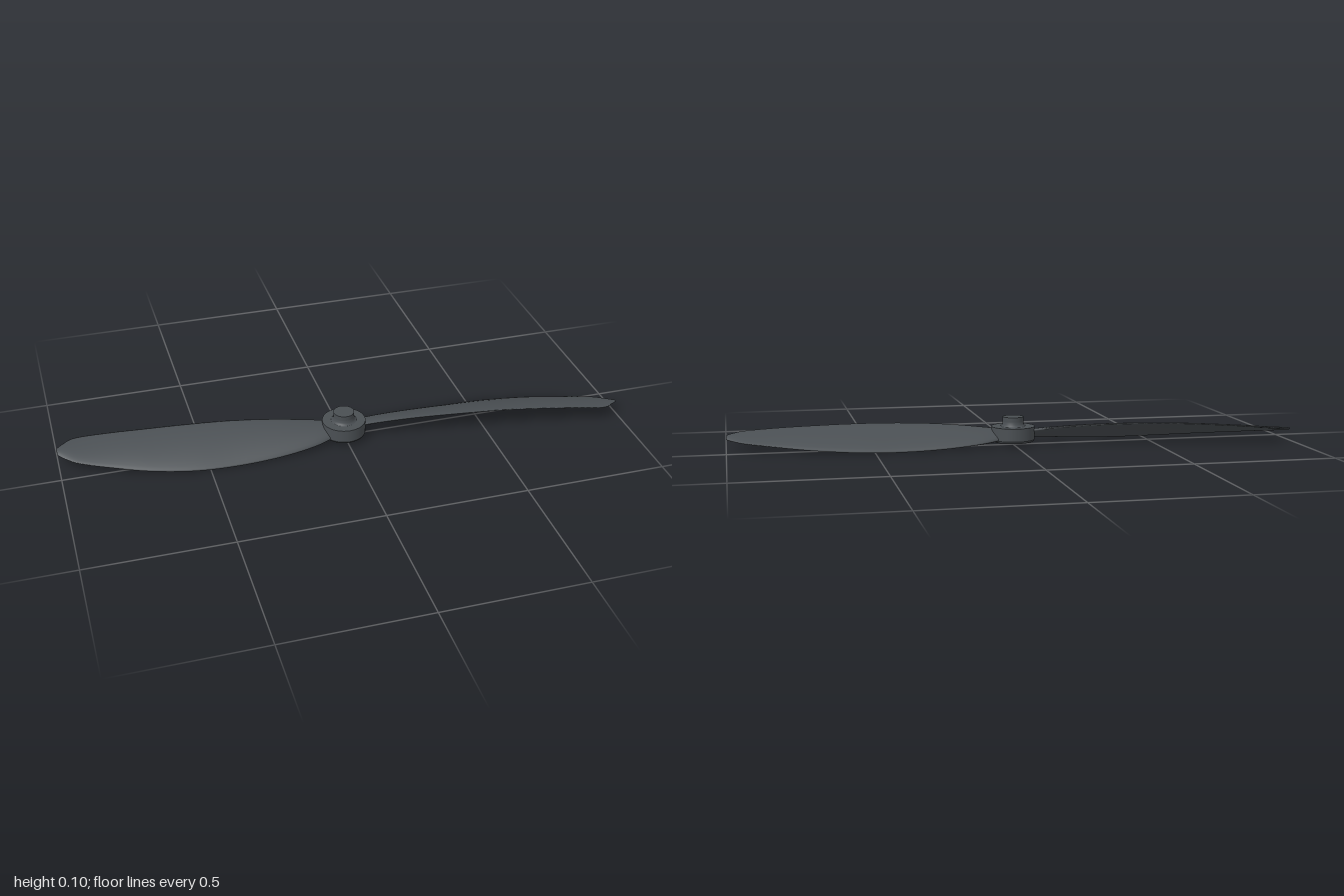
import * as THREE from 'three';

const material = new THREE.MeshStandardMaterial({ color: 0x4a4f53 });

// Blade edges from root to tip: x, y, z
const leadPoints = [
  [0.03, 0.053, 0.028], [0.12, 0.064, 0.044], [0.25, 0.075, 0.068], [0.4, 0.08, 0.093], [0.55, 0.079, 0.113],
  [0.7, 0.073, 0.135], [0.82, 0.066, 0.155], [0.93, 0.057, 0.169], [0.975, 0.053, 0.148], [1, 0.049, 0.13],
];
const trailPoints = [
  [0.03, 0.03, -0.035], [0.12, 0.019, -0.064], [0.25, 0.009, -0.081], [0.4, 0.004, -0.085], [0.55, 0.006, -0.077],
  [0.7, 0.013, -0.046], [0.82, 0.021, -0.003], [0.93, 0.029, 0.043], [0.975, 0.034, 0.078], [1, 0.038, 0.105],
];
const edgeCurve = (points) => new THREE.CatmullRomCurve3(points.map((p) => new THREE.Vector3(...p)), false, 'catmullrom', 0.5);

// Twisted blade lofted from thin cambered sections between the two edges
function bladeGeometry(stations = 45, sides = 20) {
  const lead = edgeCurve(leadPoints);
  const trail = edgeCurve(trailPoints);
  const positions = [];
  const indices = [];
  for (let i = 0; i <= stations; i++) {
    const t = i / stations;
    const a = lead.getPoint(t);
    const b = trail.getPoint(t);
    const mid = a.clone().add(b).multiplyScalar(0.5);
    const half = a.clone().sub(b).multiplyScalar(0.5);
    const normal = new THREE.Vector3(0, half.z, -half.y).normalize();
    const thickness = THREE.MathUtils.lerp(0.011, 0.003, t);
    const camber = half.length() * 0.07;
    for (let j = 0; j < sides; j++) {
      const angle = (j / sides) * Math.PI * 2;
      const c = Math.cos(angle);
      const p = mid.clone().addScaledVector(half, c)
        .addScaledVector(normal, thickness * Math.sin(angle) + camber * (1 - c * c));
      positions.push(p.x, p.y, p.z);
    }
  }
  for (let i = 0; i < stations; i++) {
    for (let j = 0; j < sides; j++) {
      const k = (j + 1) % sides;
      const p = i * sides + j, q = i * sides + k;
      indices.push(p, p + sides, q, q, p + sides, q + sides);
    }
  }
  // Tip cap
  const tip = lead.getPoint(1).add(trail.getPoint(1)).multiplyScalar(0.5);
  positions.push(tip.x, tip.y, tip.z);
  const center = (stations + 1) * sides;
  for (let j = 0; j < sides; j++) {
    indices.push(center, stations * sides + ((j + 1) % sides), stations * sides + j);
  }
  const geometry = new THREE.BufferGeometry();
  geometry.setAttribute('position', new THREE.Float32BufferAttribute(positions, 3));
  geometry.setIndex(indices);
  geometry.computeVertexNormals();
  return geometry;
}

// Turned part; each profile segment list is smooth, with sharp edges between lists
function turned(name, profiles) {
  const group = new THREE.Group();
  group.name = name;
  profiles.forEach((profile, i) => {
    const points = profile.map(([r, y]) => new THREE.Vector2(r, y));
    const mesh = new THREE.Mesh(new THREE.LatheGeometry(points, 48), material);
    mesh.name = `${name}Surface${i + 1}`;
    group.add(mesh);
  });
  return group;
}

export function createModel() {
  const model = new THREE.Group();
  model.name = 'propeller';

  // Two blades, half a turn apart
  const geometry = bladeGeometry();
  ['leftBlade', 'rightBlade'].forEach((name, i) => {
    const blade = new THREE.Mesh(geometry, material);
    blade.name = name;
    blade.rotation.y = i * Math.PI;
    model.add(blade);
  });

  // Central hub
  model.add(turned('hub', [
    [[0, 0.016], [0.07, 0.016]],
    [[0.07, 0.016], [0.075, 0.019], [0.077, 0.024]],
    [[0.077, 0.024], [0.077, 0.07]],
    [[0.077, 0.07], [0.044, 0.07]],
  ]));

  // Shaft collar with a flared foot
  model.add(turned('shaftCollar', [
    [[0.046, 0.07], [0.041, 0.073], [0.038, 0.079], [0.037, 0.087]],
    [[0.037, 0.087], [0.037, 0.104]],
    [[0.037, 0.104], [0, 0.104]],
  ]));

  return model;
}
